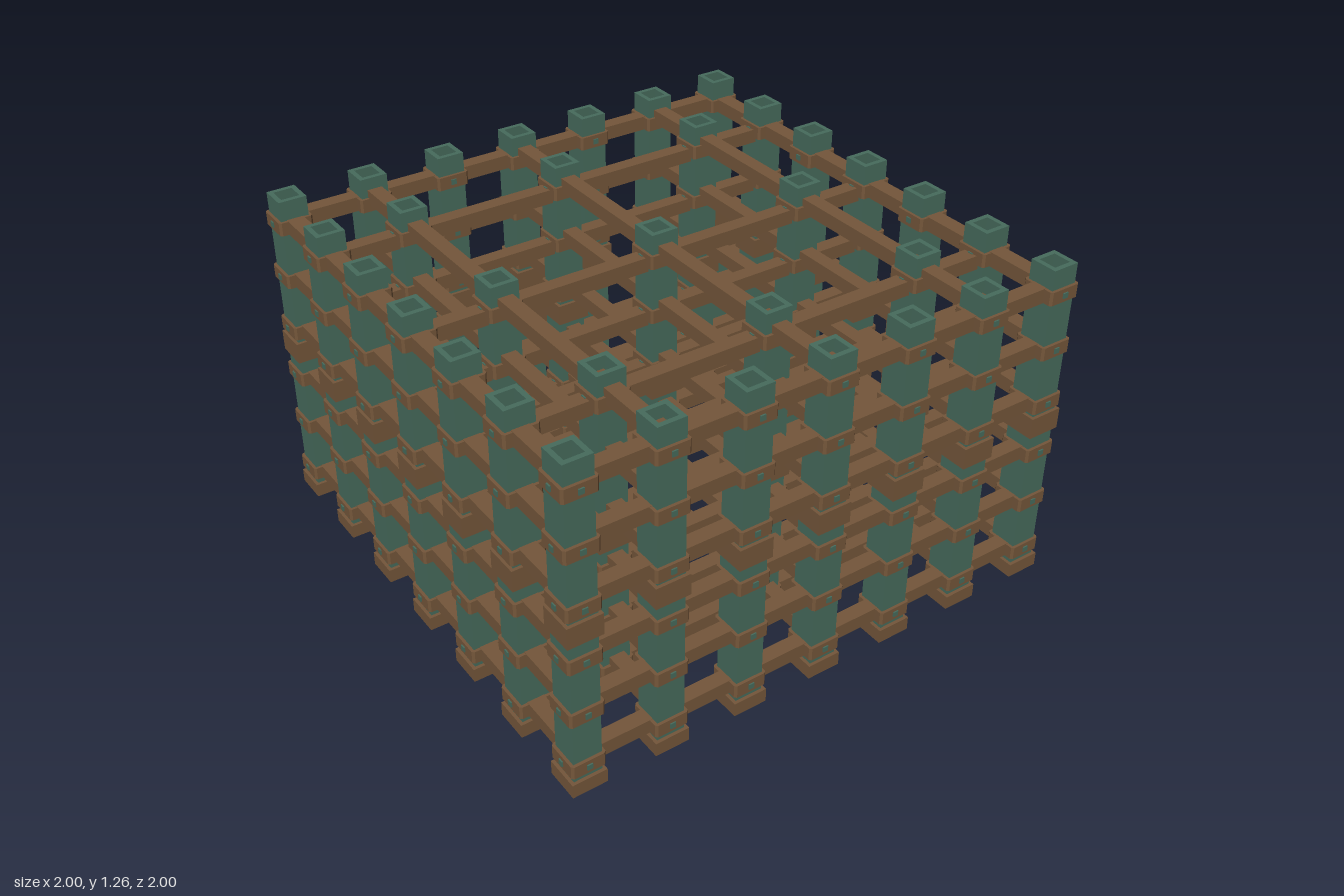
import * as THREE from 'three';

const POST = 0.104, FOOT = 0.128, COLLAR = 0.126, RAIL = 0.056;
const STEP = 0.31, EDGE = 0.93;

// Square tube standing along y, with optional cut corners
function squareTube(outer, inner, height, cut = 0) {
  const a = outer / 2, b = inner / 2, c = cut;
  const pts = cut
    ? [[-a + c, -a], [a - c, -a], [a, -a + c], [a, a - c], [a - c, a], [-a + c, a], [-a, a - c], [-a, -a + c]]
    : [[-a, -a], [a, -a], [a, a], [-a, a]];
  const shape = new THREE.Shape(pts.map(p => new THREE.Vector2(...p)));
  const hole = [[-b, -b], [-b, b], [b, b], [b, -b]];
  shape.holes.push(new THREE.Path(hole.map(p => new THREE.Vector2(...p))));
  const g = new THREE.ExtrudeGeometry(shape, { depth: height, bevelEnabled: false });
  return g.rotateX(-Math.PI / 2);
}

export function createModel() {
  const green = new THREE.MeshStandardMaterial({ color: 0x466b5c });
  green.name = 'green post';
  const brown = new THREE.MeshStandardMaterial({ color: 0x74563a });
  brown.name = 'brown wood';
  const model = new THREE.Group();
  model.name = 'postAndRailFrame';

  const add = (parent, name, geo, mat, x, y, z) => {
    const m = new THREE.Mesh(geo, mat);
    m.name = name;
    m.position.set(x, y, z);
    parent.add(m);
    return m;
  };

  const lowerPost = squareTube(POST, 0.068, 0.58);
  const upperPost = squareTube(POST, 0.068, 0.577);
  const baseFoot = new THREE.BoxGeometry(FOOT, 0.053, FOOT);
  const midFoot = new THREE.BoxGeometry(FOOT, 0.08, FOOT);
  const collar = squareTube(COLLAR, POST - 0.004, 0.05, 0.008);
  const peg = new THREE.BoxGeometry(0.02, 0.02, 0.008);
  const levels = [0.102, 0.317, 0.53, 0.731, 0.946, 1.158];

  // One two-storey post with feet, collars and pegs
  const buildPost = (x, z) => {
    const p = new THREE.Group();
    p.name = 'post';
    p.position.set(x, 0, z);
    add(p, 'baseFoot', baseFoot, brown, 0, 0.0265, 0);
    add(p, 'lowerPost', lowerPost, green, 0, 0.05, 0);
    add(p, 'middleFoot', midFoot, brown, 0, 0.65, 0);
    add(p, 'upperPost', upperPost, green, 0, 0.68, 0);
    for (const y of levels) {
      add(p, 'collar', collar, brown, 0, y - 0.025, 0);
      for (let i = 0; i < 4; i++) {
        const a = i * Math.PI / 2, r = COLLAR / 2 + 0.001;
        add(p, 'peg', peg, green, Math.sin(a) * r, y, Math.cos(a) * r).rotation.y = a;
      }
    }
    model.add(p);
  };

  // Perimeter has seven posts a side; the inside keeps every line but the quarter ones
  for (let i = -3; i <= 3; i++) {
    for (let j = -3; j <= 3; j++) {
      const rim = Math.abs(i) === 3 || Math.abs(j) === 3;
      const skipped = Math.abs(i) === 1 || Math.abs(j) === 1;
      if (rim || !skipped) buildPost(i * STEP, j * STEP);
    }
  }

  // Rails at every level; inner rails cross over one another
  const length = 2 * EDGE + 0.06;
  const railX = new THREE.BoxGeometry(length, 0.054, RAIL);
  const railZ = new THREE.BoxGeometry(RAIL, 0.054, length);
  const outerZ = new THREE.BoxGeometry(0.062, 0.054, length);
  for (const y of levels) {
    for (const s of [-EDGE, EDGE]) {
      add(model, 'outerCrossRail', railX, brown, 0, y - 0.001, s);
      add(model, 'outerSideRail', outerZ, brown, s, y, 0);
    }
    for (const s of [-2 * STEP, 0, 2 * STEP]) {
      add(model, 'innerCrossRail', railX, brown, 0, y - 0.02, s);
      add(model, 'innerSideRail', railZ, brown, s, y + 0.028, 0);
    }
  }
  return model;
}
